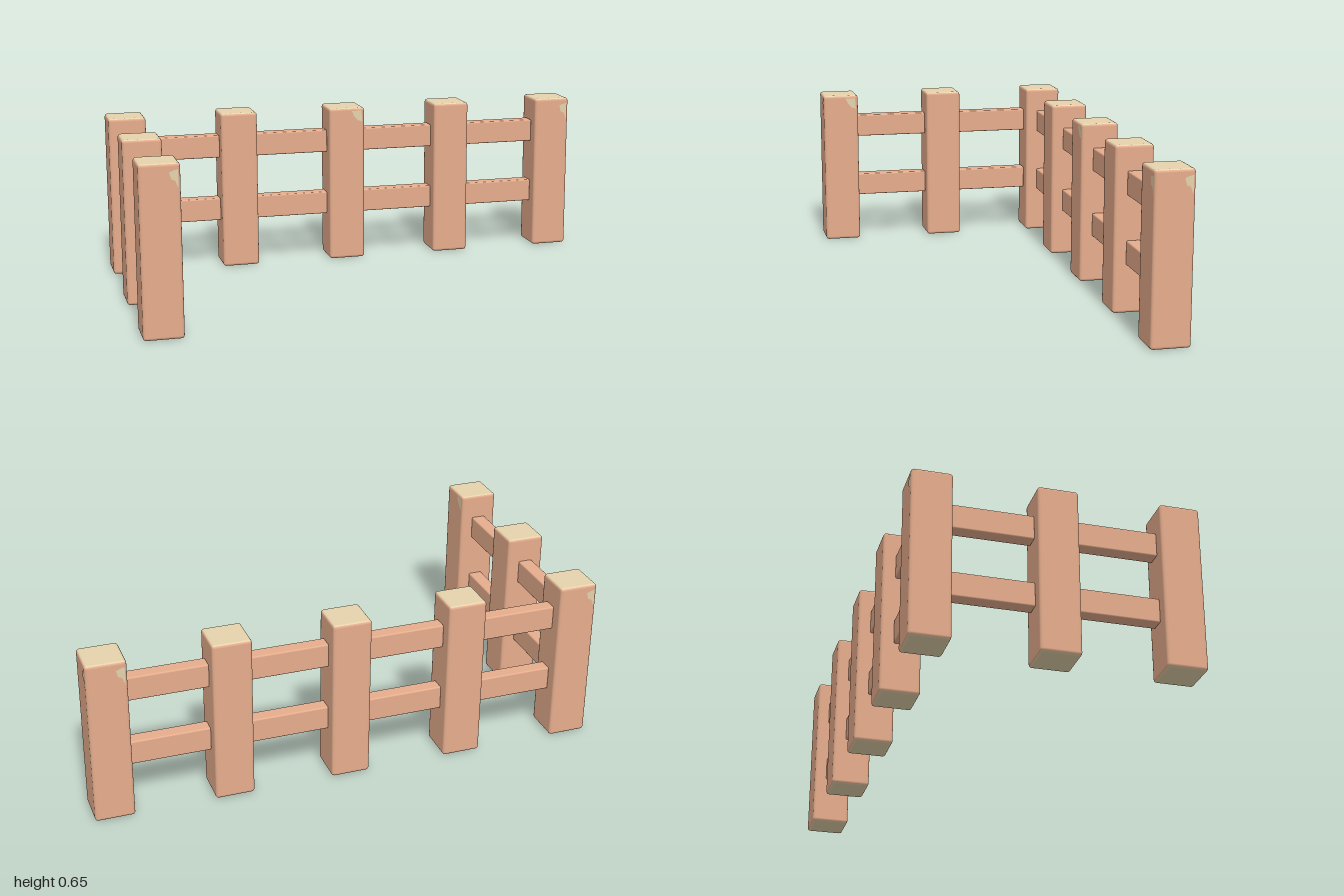
import * as THREE from 'three';
import { RoundedBoxGeometry } from 'three/addons/geometries/RoundedBoxGeometry.js';

const SPACING = 0.462, WIDTH = 0.152, BASE = 0.002, HEIGHT = 0.653;
const FRONT = 0, SIDE = Math.PI / 2, BACK = Math.PI;

// Worn patch in the upper right corner of a post's side
function chipGeometry(points) {
  const shape = new THREE.Shape(points.map(([x, y]) => new THREE.Vector2(x, y)));
  return new THREE.ShapeGeometry(shape).translate(0, 0, WIDTH / 2 + 0.001);
}

export function createModel() {
  const group = new THREE.Group();
  group.name = 'cornerFence';

  const wood = new THREE.MeshStandardMaterial({ color: 0xe6ad8d });
  wood.name = 'wood';
  const endGrain = new THREE.MeshStandardMaterial({ color: 0xe5d3ac });
  endGrain.name = 'endGrain';

  // Post: wooden sides, pale end grain on the top and bottom
  const postGeo = new RoundedBoxGeometry(WIDTH, HEIGHT, WIDTH, 2, 0.012);
  const postMaterials = [wood, wood, endGrain, endGrain, wood, wood];
  const railGeo = new RoundedBoxGeometry(SPACING - WIDTH, 0.095, 0.057, 2, 0.006);

  const wideChip = chipGeometry([[0.02, 0.314], [0.03, 0.292], [0.048, 0.272], [0.066, 0.268], [0.062, 0.314]]);
  const longChip = chipGeometry([[0.034, 0.294], [0.042, 0.268], [0.056, 0.262], [0.067, 0.232], [0.067, 0.304], [0.05, 0.3]]);

  function addPost(x, z, chips = []) {
    const post = new THREE.Group();
    post.name = 'post';
    post.position.set(x, BASE + HEIGHT / 2, z);
    const body = new THREE.Mesh(postGeo, postMaterials);
    body.name = 'postBody';
    post.add(body);
    for (const [geometry, angle] of chips) {
      const chip = new THREE.Mesh(geometry, endGrain);
      chip.name = 'wornPatch';
      chip.rotation.y = angle;
      post.add(chip);
    }
    group.add(post);
  }

  // Two rails, one above the other, filling the gap between two posts
  function addRails(x, z, angle) {
    for (const y of [0.241, 0.51]) {
      const rail = new THREE.Mesh(railGeo, wood);
      rail.name = 'rail';
      rail.position.set(x, y, z);
      rail.rotation.y = angle;
      group.add(rail);
    }
  }

  // Long back run
  const backChips = {
    '-2': [[longChip, BACK]],
    0: [[wideChip, FRONT]],
    2: [[longChip, FRONT], [longChip, SIDE], [longChip, BACK]],
  };
  for (let i = -2; i <= 2; i++) {
    addPost(i * SPACING, -SPACING, backChips[i]);
    if (i < 2) addRails((i + 0.5) * SPACING, -SPACING, 0);
  }

  // Short side run coming forward from the corner post
  const endChips = [[longChip, FRONT], [wideChip, SIDE]];
  for (let i = 0; i <= 1; i++) {
    addPost(-2 * SPACING, i * SPACING, i === 1 ? endChips : []);
    addRails(-2 * SPACING, (i - 0.5) * SPACING, Math.PI / 2);
  }

  return group;
}
